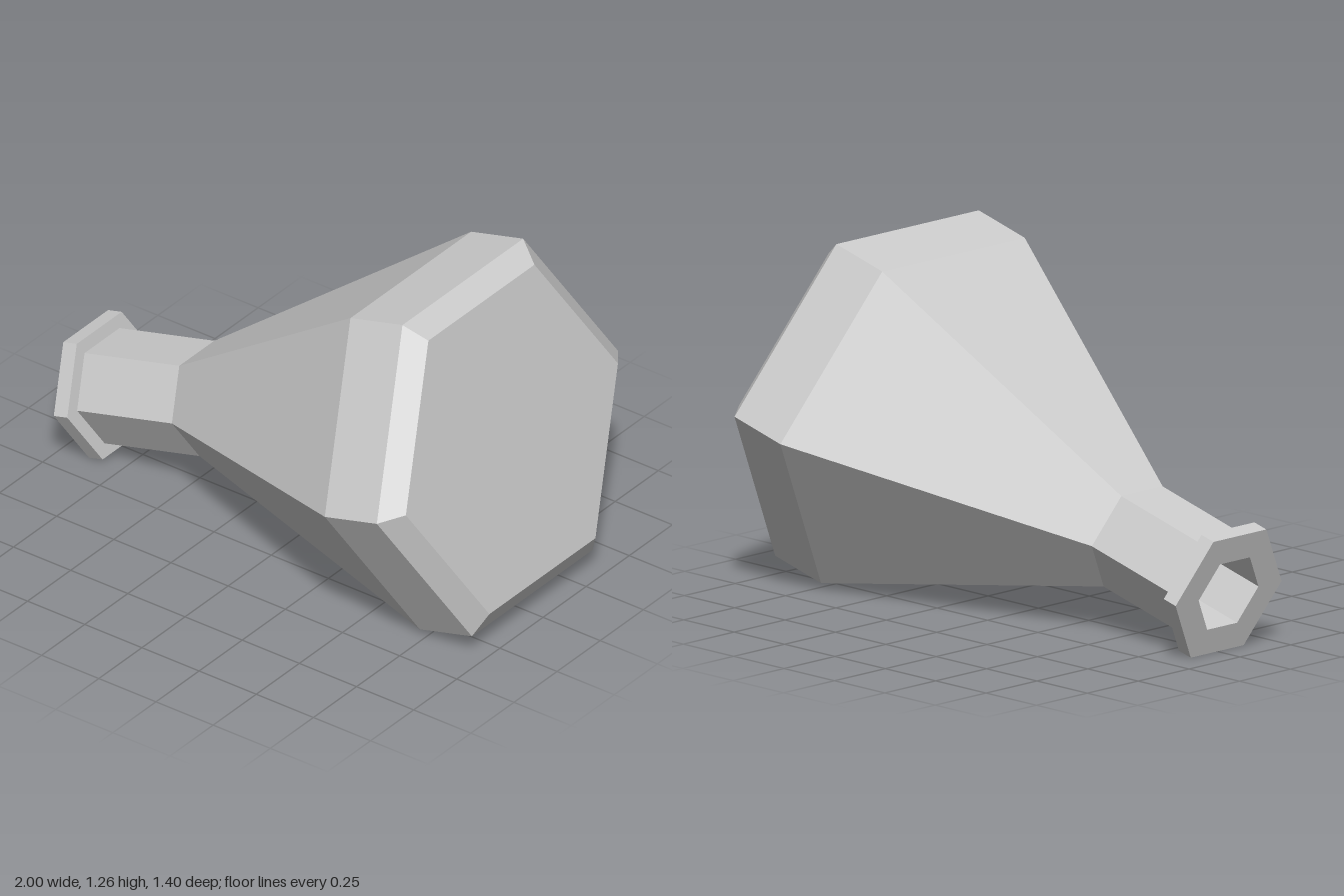
import * as THREE from 'three';

const glassGrey = new THREE.MeshStandardMaterial({ color: 0xcccccc });
glassGrey.name = 'glass grey';

// Six-sided faceted shell turned from [radius, height] pairs
function hexTurned(name, profile) {
  const points = profile.map(([r, h]) => new THREE.Vector2(r, h));
  const geometry = new THREE.LatheGeometry(points, 6).toNonIndexed();
  geometry.computeVertexNormals();
  const mesh = new THREE.Mesh(geometry, glassGrey);
  mesh.name = name;
  return mesh;
}

export function createModel() {
  const model = new THREE.Group();
  model.name = 'flask';

  // Flat base with a bevel, short straight wall, then a cone up to the neck
  model.add(hexTurned('body', [[0, 0], [0.615, 0], [0.7, 0.065], [0.7, 0.3], [0.203, 1.378]]));

  // Straight neck
  model.add(hexTurned('neck', [[0.203, 1.378], [0.203, 1.806]]));

  // Wider lip around the mouth
  model.add(hexTurned('lip', [[0.203, 1.806], [0.26, 1.806], [0.26, 1.867], [0.147, 1.867]]));

  // Hollow inside the neck
  model.add(hexTurned('mouthInterior', [[0.147, 1.867], [0.147, 1.4], [0, 1.4]]));

  // The flask lies tilted on its side, mouth towards -x
  model.rotation.z = THREE.MathUtils.degToRad(104.5);
  model.position.set(0.864, 0.686, 0);

  const group = new THREE.Group();
  group.name = 'tiltedFlask';
  group.add(model);
  return group;
}
